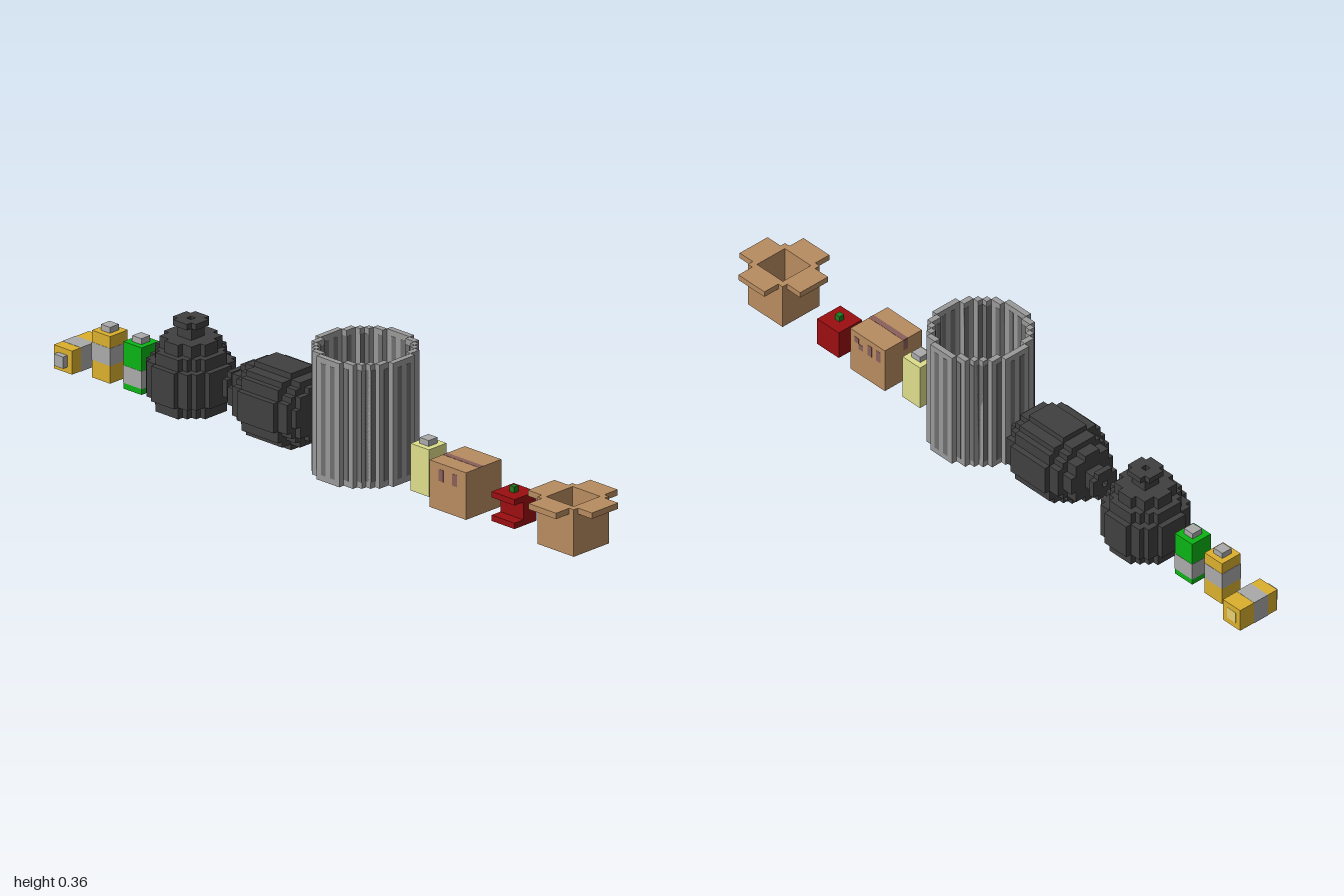
import * as THREE from 'three';

const V = 0.017; // edge of one block
const E = 0.04; // how far painted marks stand proud, in blocks
const mats = {};
const mat = (c) => (mats[c] ??= new THREE.MeshStandardMaterial({ color: c }));
const CARD = 0xb88c60, TAPE = 0x8a605c, RED = 0x9a0e10, STEM = 0x1f7a1f, PALE = 0xdede8c;
const STEEL = 0x999999, STRIPE = 0x6e6e6e, BAG = 0x404040, GREEN = 0x0ab414;
const YELLOW = 0xdbb02e, GREY = 0xaaaaaa, CREAM = 0xe6d070;

// Box between two corners given in blocks
function box(g, name, color, x0, y0, z0, x1, y1, z1) {
  const m = new THREE.Mesh(new THREE.BoxGeometry((x1 - x0) * V, (y1 - y0) * V, (z1 - z0) * V), mat(color));
  m.position.set((x0 + x1) * V / 2, (y0 + y1) * V / 2, (z0 + z1) * V / 2);
  m.name = name;
  g.add(m);
}

// Half width of a stepped disc at row d
const reach = (r, d) => Math.floor(Math.sqrt((r + 0.45) ** 2 - d * d));

// Stepped outline of a disc made of blocks
function discPoints(r) {
  const right = [];
  for (let d = -r; d <= r; d++) {
    const w = Math.min(r, reach(r, d)) + 0.5;
    right.push([w, d - 0.5], [w, d + 0.5]);
  }
  const left = right.map(([x, y]) => [-x, y]).reverse();
  return [...right, ...left].map(([x, y]) => new THREE.Vector2(x * V, y * V));
}

// Upright stepped disc, optionally with a stepped hole
function disc(g, name, color, r, y, h, hole = -1) {
  const shape = new THREE.Shape(discPoints(r));
  if (hole >= 0) shape.holes.push(new THREE.Path(discPoints(hole)));
  const geo = new THREE.ExtrudeGeometry(shape, { depth: h * V, bevelEnabled: false });
  geo.rotateX(-Math.PI / 2);
  const m = new THREE.Mesh(geo, mat(color));
  m.position.y = y * V;
  m.name = name;
  g.add(m);
}

function openCarton() {
  const g = new THREE.Group();
  box(g, 'cartonFloor', CARD, -4, 0, -4, 4, 1, 4);
  for (const s of [-1, 1]) {
    const a = s < 0 ? -4 : 3, f = s < 0 ? -7 : 4;
    box(g, 'cartonSideWall', CARD, a, 1, -4, a + 1, 8, 4);
    box(g, 'cartonEndWall', CARD, -3, 1, a, 3, 8, a + 1);
    box(g, 'cartonSideFlap', CARD, f, 7, -3, f + 3, 8, 3);
    box(g, 'cartonEndFlap', CARD, -3, 7, f, 3, 8, f + 3);
  }
  return g;
}

function closedCarton() {
  const g = new THREE.Group();
  box(g, 'carton', CARD, -4, 0, -4, 4, 8, 4);
  box(g, 'topTape', TAPE, -1, 7.5, -4, 0, 8 + E, 4);
  box(g, 'backTape', TAPE, -1, 6, -4 - E, 0, 8, -3.5);
  // Printed marks on both sides: z, y, height
  for (const [z, y, h] of [[2, 6, 1], [1, 5, 1], [-1, 5, 2], [-3, 5, 2]])
    box(g, 'rightMark', TAPE, 3.5, y, z, 4 + E, y + h, z + 1);
  for (const z of [-2, 1]) box(g, 'leftMark', TAPE, -4 - E, 5, z, -3.5, 7, z + 1);
  return g;
}

function bittenApple() {
  const g = new THREE.Group();
  box(g, 'appleBase', RED, -2.5, 0, -2.5, 2.5, 1, 2.5);
  box(g, 'appleCore', RED, -0.5, 1, -2.5, 2.5, 4, 2.5);
  box(g, 'appleTop', RED, -2.5, 4, -2.5, 2.5, 5, 2.5);
  box(g, 'appleStem', STEM, -0.5, 5, -0.5, 0.5, 6, 0.5);
  return g;
}

// Square container with a cap, an optional band and a base plate
function container(color, band, base) {
  const g = new THREE.Group();
  box(g, 'containerBody', color, -2, 0, -2, 2, 8, 2);
  box(g, 'containerCap', GREY, -1, 8, -1, 1, 9, 1);
  if (band) box(g, 'containerBand', GREY, -2 - E, band[0], -2 - E, 2 + E, band[1], 2 + E);
  if (base) box(g, 'containerBasePlate', base, -1, -E, -1, 1, 0.5, 1);
  return g;
}

function dustbin() {
  const g = new THREE.Group();
  disc(g, 'binFloor', STEEL, 8, 0, 1);
  disc(g, 'binWall', STEEL, 8, 1, 20, 7);
  // Dark flutes on all four sides
  for (const k of [-5, -3, -1, 1, 3, 5]) {
    const d = reach(8, k);
    for (const s of [-1, 1]) {
      const a = s * d - 0.5 - E, b = s * d + 0.5 + E;
      box(g, 'binFlute', STRIPE, k - 0.5, 1, a, k + 0.5, 20, b);
      box(g, 'binFlute', STRIPE, a, 1, k - 0.5, b, 20, k + 0.5);
    }
  }
  return g;
}

// Tied sack: body layers as [radius, height], then neck and knot
function sack(layers) {
  const g = new THREE.Group();
  let y = 0;
  for (const [r, h] of layers) {
    disc(g, 'sackBody', BAG, r, y, h);
    y += h;
  }
  disc(g, 'sackNeck', BAG, 1, y, 2);
  disc(g, 'sackKnot', BAG, 2, y + 2, 1, 0);
  return g;
}

export function createModel() {
  const model = new THREE.Group();
  const place = (name, g, x, y, z) => {
    g.name = name;
    g.position.set(x, y, z);
    model.add(g);
    return g;
  };
  place('openCarton', openCarton(), -0.001, 0, 0.881);
  place('bittenApple', bittenApple(), 0.007, 0, 0.653);
  place('closedCarton', closedCarton(), -0.01, 0, 0.488);
  place('paleBottle', container(PALE), 0.006, 0, 0.335);
  place('dustbin', dustbin(), -0.001, 0, 0.106);
  const lying = place('lyingSack', sack([[4, 1], [5, 2], [6, 8], [5, 2], [4, 2]]), 0, 6.5 * V, -0.08);
  lying.rotation.x = -Math.PI / 2;
  place('standingSack', sack([[5, 2], [6, 6], [5, 2], [4, 2]]), 0, 0, -0.545);
  place('greenCan', container(GREEN, [1, 4], CREAM), -0.001, 0, -0.73);
  place('yellowCan', container(YELLOW, [3, 6], CREAM), -0.001, 0, -0.847);
  const tipped = place('tippedCan', container(YELLOW, [3, 6], CREAM), 0.077, 2 * V, -0.966);
  tipped.rotation.z = Math.PI / 2;
  return model;
}
